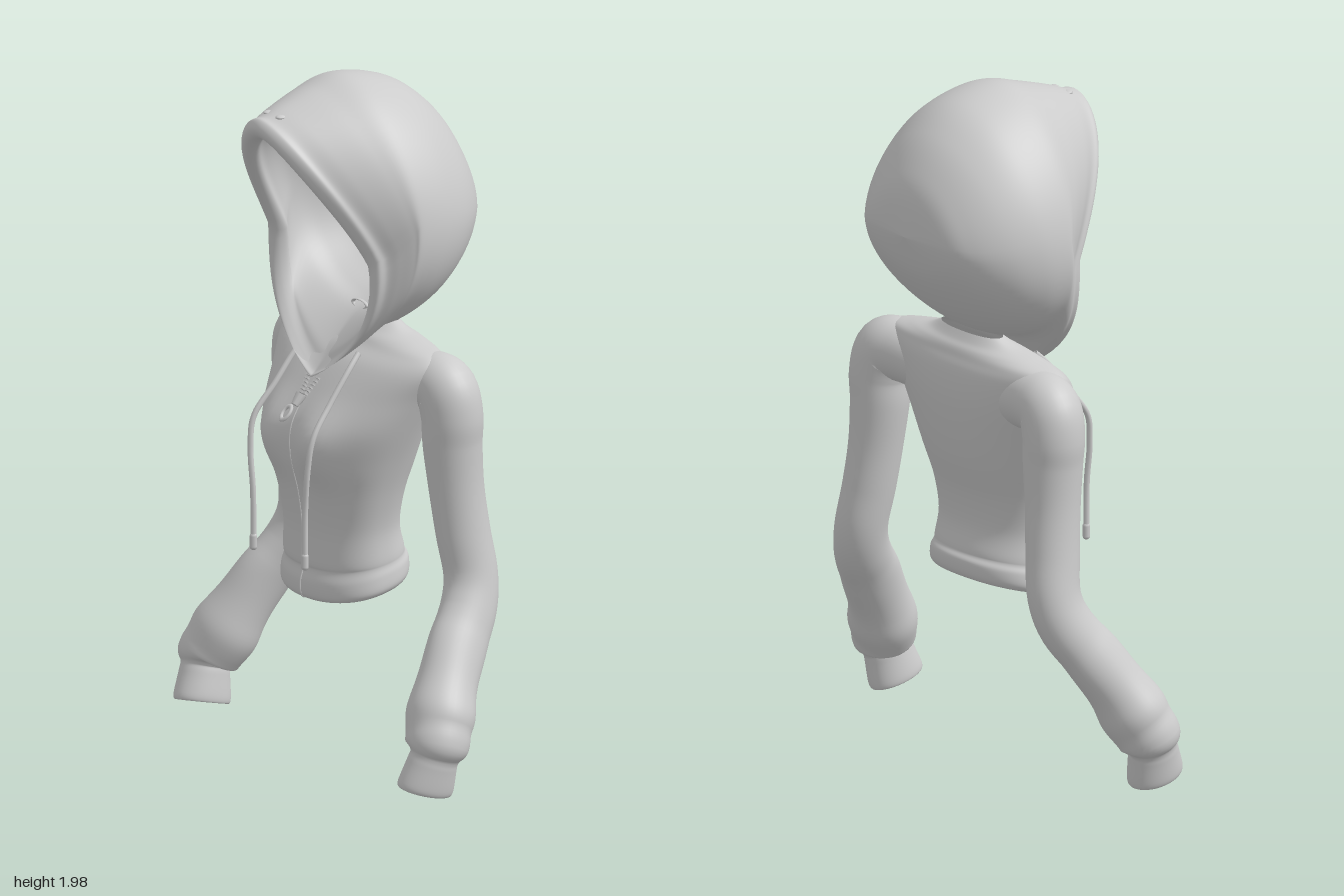
import * as THREE from 'three';

const mat = new THREE.MeshStandardMaterial({ color: 0xcccccc, roughness: 0.8, side: THREE.DoubleSide });
const V = (x, y, z) => new THREE.Vector3(x, y, z);

function add(parent, name, geometry) {
  const m = new THREE.Mesh(geometry, mat);
  m.name = name;
  parent.add(m);
  return m;
}

// Catmull-Rom through rows of numbers
function sample(keys, t) {
  const last = keys.length - 1, u = t * last, k = Math.min(Math.floor(u), last - 1), f = u - k;
  const at = i => keys[Math.max(0, Math.min(last, i))];
  const [a, b, c, d] = [at(k - 1), at(k), at(k + 1), at(k + 2)];
  return b.map((p, j) => p + 0.5 * f * (c[j] - a[j] +
    f * (2 * a[j] - 5 * p + 4 * c[j] - d[j] + f * (3 * (p - c[j]) + d[j] - a[j]))));
}

// Skin over closed rings; ring(t, angle) gives a point
function loft(rows, cols, ring) {
  const pos = [], idx = [];
  for (let i = 0; i <= rows; i++)
    for (let j = 0; j < cols; j++) pos.push(...ring(i / rows, (j / cols) * Math.PI * 2).toArray());
  for (let i = 0; i < rows; i++)
    for (let j = 0; j < cols; j++) {
      const a = i * cols + j, b = i * cols + (j + 1) % cols;
      idx.push(a, b, a + cols, b, b + cols, a + cols);
    }
  const g = new THREE.BufferGeometry();
  g.setAttribute('position', new THREE.Float32BufferAttribute(pos, 3));
  g.setIndex(idx);
  g.computeVertexNormals();
  return g;
}

const tube = (pts, r, n = 48) => new THREE.TubeGeometry(new THREE.CatmullRomCurve3(pts), n, r, 8);

// Torso rows: y, half width, front z, back z, hem tilt (lining first, then outside going up)
const torsoRows = [
  [1.0, .24, .17, -.13, 0], [.7, .17, .14, -.075, .1], [.56, .18, .145, -.1, .2], [.53, .185, .15, -.105, .25],
  [.523, .2, .163, -.12, .25], [.54, .213, .175, -.13, .25], [.575, .21, .176, -.13, .23], [.6, .203, .166, -.118, .18],
  [.62, .203, .17, -.115, .15], [.7, .2, .17, -.1, .05], [.8, .22, .185, -.11, 0], [.9, .25, .207, -.14, 0],
  [1.0, .285, .203, -.16, 0], [1.1, .32, .145, -.17, 0], [1.18, .35, .085, -.165, 0], [1.222, .335, .035, -.15, 0],
  [1.245, .25, .015, -.14, 0], [1.262, .17, -.005, -.125, 0], [1.285, .12, -.03, -.11, 0]];

function torsoPoint(t, a) {
  const [y, w, zf, zb, tilt] = sample(torsoRows, t);
  const c = Math.cos(a), s = Math.sin(a), mid = (zf + zb) / 2;
  const x = w * Math.sign(c) * Math.abs(c) ** 0.9;
  let z = mid + (zf - zb) / 2 * Math.sign(s) * Math.abs(s) ** 0.9;
  // chest fullness on both sides of the zip
  if (s > 0 && t > 0.25) z += .035 * s * Math.exp(-(((Math.abs(x) - .11) / .075) ** 2) - ((y - .95) / .1) ** 2);
  return V(x, y - tilt * z, z);
}

// Hood rows: top y, top z, bottom y, bottom z, half width, side bow in z, pointedness
const hoodRows = [
  [1.6, -.285, 1.6, -.285, 0, 0, 0], [1.72, -.275, 1.48, -.25, .14, 0, 0], [1.84, -.2, 1.38, -.18, .22, 0, 0],
  [1.91, -.05, 1.33, -.08, .265, 0, 0], [1.9, .12, 1.29, -.01, .265, -.04, .4], [1.87, .24, 1.2, .075, .235, -.1, .9],
  [1.85, .285, 1.155, .105, .215, -.125, 1], [1.86, .318, 1.135, .125, .222, -.125, 1], [1.885, .33, 1.125, .14, .243, -.125, 1],
  [1.91, .317, 1.13, .14, .268, -.13, 1], [1.916, .29, 1.14, .125, .275, -.135, .95], [1.938, .235, 1.17, .1, .3, -.12, .7],
  [1.973, .13, 1.22, .06, .33, -.08, .35], [2, .02, 1.25, .02, .342, -.03, .15], [1.97, -.12, 1.27, -.04, .335, -.02, 0],
  [1.9, -.22, 1.31, -.12, .3, -.02, 0], [1.815, -.285, 1.39, -.21, .235, -.02, 0], [1.735, -.319, 1.5, -.29, .15, -.01, 0],
  [1.62, -.332, 1.62, -.332, 0, 0, 0]];

function hoodPoint(t, a) {
  const [ty, tz, by, bz, w, bow, point] = sample(hoodRows, t);
  const c = Math.cos(a), s = Math.sin(a), k = (1 + c) / 2;
  const p = 1 + point * (c > 0 ? .12 : .12 + .65 * -c);
  const x = w * Math.sign(s) * Math.abs(s) ** p * (1 - .14 * c);
  // the brim stays broad at the top and sweeps back at the cheeks
  const sweep = s * s * (c > 0 ? 1 - .75 * c : 1 + .4 * c);
  return V(x, by + (ty - by) * k, bz + (tz - bz) * k + bow * sweep);
}

// Sleeve rows: centre x, y, z, radius across, radius front to back
const sleeveRows = [
  [.2, 1.13, -.072, .085, .075], [.29, 1.142, -.078, .092, .085], [.345, 1.128, -.085, .094, .088],
  [.366, 1.06, -.09, .09, .088], [.365, .98, -.092, .086, .085], [.373, .85, -.1, .077, .08],
  [.387, .72, -.113, .073, .08], [.407, .6, -.125, .071, .08], [.432, .51, -.1, .071, .084], [.47, .41, -.032, .071, .087],
  [.508, .3, .035, .09, .093], [.537, .22, .075, .1, .096], [.562, .165, .1, .089, .09], [.562, .14, .108, .066, .075],
  [.558, .115, .115, .065, .077], [.548, .052, .13, .066, .088], [.545, .039, .133, .058, .08], [.55, .07, .128, .046, .062],
  [.556, .11, .115, .04, .05], [.558, .13, .11, 0, 0]];
// direction of the sleeve, kept steady where the cuff turns inward
const axis = new THREE.CatmullRomCurve3(sleeveRows.slice(0, 16).map(r => V(r[0], r[1], r[2])));

function sleevePoint(t, a) {
  const [x, y, z, ru, rv] = sample(sleeveRows, t);
  const dir = axis.getTangent(Math.min(1, t * (sleeveRows.length - 1) / 15));
  const v = V(0, 0, 1).addScaledVector(dir, -dir.z).normalize();
  const u = v.clone().cross(dir);
  // soft gathers on the lower sleeve
  const fold = 1 + (t > .45 && t < .62 ? .03 * Math.sin((t - .45) / .17 * Math.PI * 4) : 0);
  return V(x, y, z).addScaledVector(u, ru * fold * Math.cos(a)).addScaledVector(v, rv * fold * Math.sin(a));
}

export function createModel() {
  const model = new THREE.Group();
  model.name = 'hoodedJacket';

  add(model, 'torso', loft(108, 72, torsoPoint));
  add(model, 'hood', loft(126, 80, hoodPoint));

  // Zip seam following the centre front
  const seam = [];
  for (let i = 4; i <= 13.4; i += .5) seam.push(torsoPoint(i / (torsoRows.length - 1), Math.PI / 2));
  add(model, 'zipSeam', tube(seam, .003, 60));

  // Zip teeth, slider and pull
  const zip = new THREE.Group();
  zip.name = 'zip';
  zip.position.set(0, 1.09, .16);
  zip.rotation.x = -.7;
  model.add(zip);
  for (let i = 0; i < 6; i++)
    for (const s of [-1, 1])
      add(zip, 'zipTooth', new THREE.BoxGeometry(.014, .005, .012)).position.set(s * (.008 + i * .003), i * .011 - .01, 0);
  add(zip, 'zipSlider', new THREE.CylinderGeometry(.017, .011, .035, 10)).position.set(0, -.035, .003);
  const pull = add(zip, 'zipPull', new THREE.TorusGeometry(.015, .005, 8, 20));
  pull.scale.y = 1.5;
  pull.position.set(0, -.085, .014);

  // Neck loop inside the hood
  const loop = add(model, 'neckLoop', new THREE.TorusGeometry(.034, .006, 8, 24));
  loop.scale.y = .35;
  loop.position.set(0, 1.312, -.03);

  // Paired parts, mirrored across the centre
  for (const s of [1, -1]) {
    const side = new THREE.Group();
    side.name = s > 0 ? 'leftSide' : 'rightSide';
    side.scale.x = s;
    model.add(side);
    add(side, 'sleeve', loft(133, 36, sleevePoint));
    add(side, 'drawstring', tube([V(.12, 1.21, .06), V(.13, 1.17, .1), V(.135, 1.08, .17), V(.145, .99, .236),
      V(.14, .9, .25), V(.128, .78, .25), V(.126, .64, .25)], .0085));
    add(side, 'drawstringTip', new THREE.CapsuleGeometry(.011, .03, 4, 10)).position.set(.126, .63, .25);
    const stitch = add(side, 'hoodStitch', new THREE.SphereGeometry(.012, 10, 8));
    stitch.scale.set(1.2, .5, 1.4);
    stitch.position.set(.03, 1.918, .265);
  }
  return model;
}
